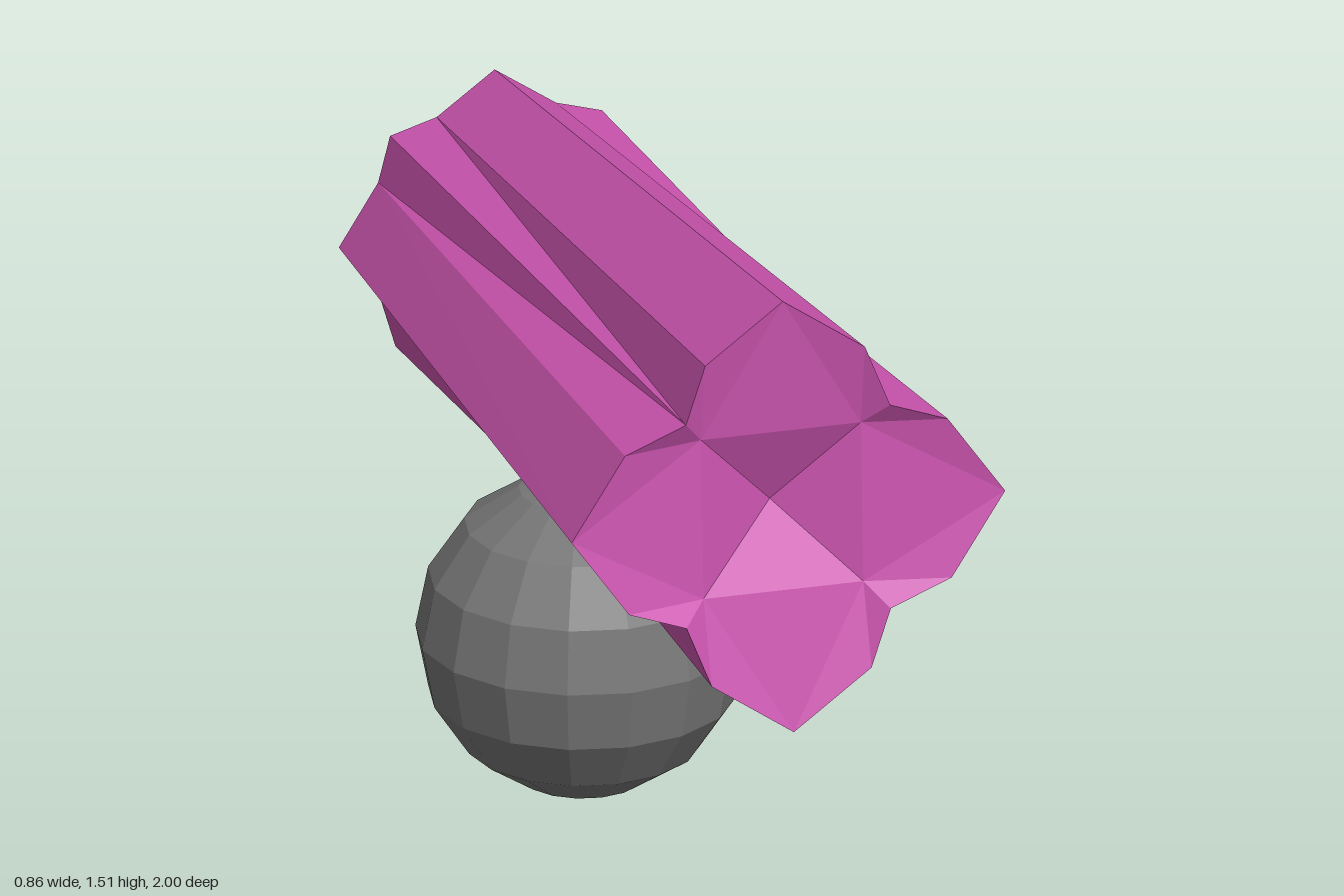
import * as THREE from 'three';

const purple = new THREE.MeshStandardMaterial({ color: 0xcc55b0, flatShading: true });
purple.name = 'orchid purple';
const grey = new THREE.MeshStandardMaterial({ color: 0x777777, flatShading: true });
grey.name = 'stone grey';

// Four-armed ring of 16 points: tip, shoulder, valley, shoulder for each quarter
function ring(quarter, z) {
  const pts = [];
  for (let q = 0; q < 4; q++) {
    for (const [x, y] of quarter) {
      pts.push(new THREE.Vector3(x, y, z).applyAxisAngle(new THREE.Vector3(0, 0, 1), q * Math.PI / 2));
    }
  }
  return pts;
}

function geometryFrom(triangles) {
  const geo = new THREE.BufferGeometry().setFromPoints(triangles.flat());
  geo.computeVertexNormals();
  return geo;
}

// Faceted cap: rim, four inner points and a deep centre, all shifted towards -z
function cap(rim, flip) {
  const z = rim[0].z;
  const centre = new THREE.Vector3(0, 0, z - 0.12);
  const inner = ring([[0.16, 0.157]], z - 0.04);
  const tris = [];
  for (let q = 0; q < 4; q++) {
    const prev = inner[(q + 3) % 4], next = inner[q];
    const before = rim[(4 * q + 15) % 16], tip = rim[4 * q], after = rim[4 * q + 1];
    const valley = rim[4 * q + 2], shoulder = rim[4 * q + 3];
    tris.push([centre, prev, next], [prev, before, tip], [prev, tip, next],
      [next, tip, after], [next, after, valley], [next, valley, shoulder]);
  }
  return geometryFrom(flip ? tris.map(([a, b, c]) => [a, c, b]) : tris);
}

// Tapered sides; quads next to a valley split from its front point
function sides(front, back) {
  const tris = [];
  for (let i = 0; i < 16; i++) {
    const j = (i + 1) % 16;
    if (i % 4 === 2) tris.push([front[i], back[i], back[j]], [front[i], back[j], front[j]]);
    else tris.push([front[i], back[i], front[j]], [front[j], back[i], back[j]]);
  }
  return geometryFrom(tris);
}

export function createModel() {
  const model = new THREE.Group();
  const add = (parent, name, geo, mat) => {
    const mesh = new THREE.Mesh(geo, mat);
    mesh.name = name;
    parent.add(mesh);
    return mesh;
  };

  // Fluted body, tipped slightly up at the front
  const body = new THREE.Group();
  body.name = 'flutedBody';
  const front = ring([[0.43, 0], [0.32, 0.157], [0.207, 0.198], [0.16, 0.32]], 0.925);
  const back = ring([[0.317, 0], [0.236, 0.117], [0.21, 0.21], [0.12, 0.236]], -0.925);
  add(body, 'bodySides', sides(front, back), purple);
  add(body, 'hollowFrontCap', cap(front, false), purple);
  add(body, 'pointedBackCap', cap(back, true), purple);
  body.position.set(0, 1.005, 0.0425);
  body.rotation.x = -0.081;
  model.add(body);

  // Faceted ball beneath the rear half
  add(model, 'supportBall', new THREE.SphereGeometry(0.318, 16, 8), grey).position.set(0, 0.318, -0.345);

  return model;
}
